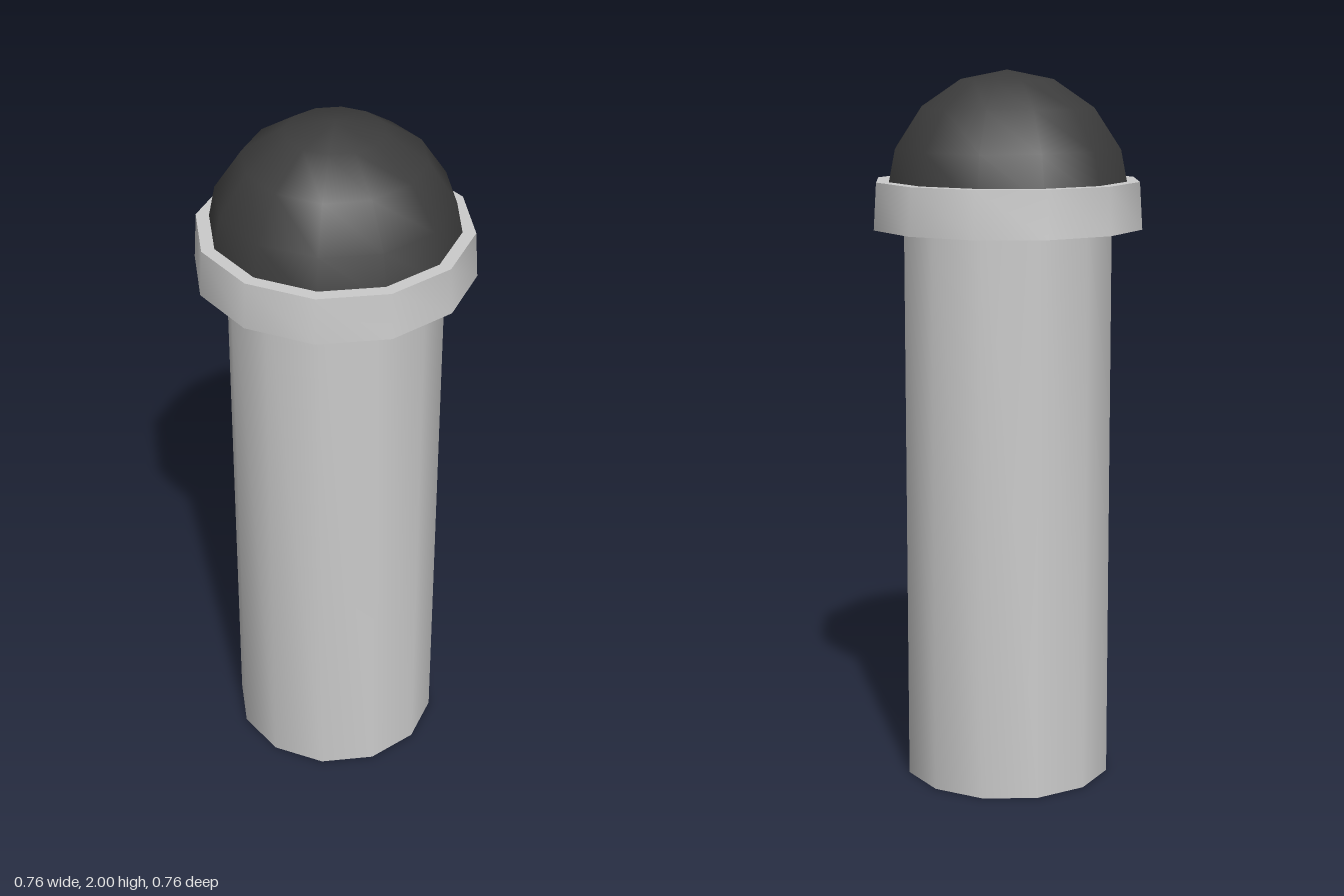
import * as THREE from 'three';
import { toCreasedNormals } from 'three/addons/utils/BufferGeometryUtils.js';

const SIDES = 12;

// Revolve a profile of [radius, height] pairs, smooth around and sharp at the rims
function turned(name, profile, color) {
  const points = profile.map(([r, y]) => new THREE.Vector2(r, y));
  const geometry = toCreasedNormals(new THREE.LatheGeometry(points, SIDES), 0.8);
  const material = new THREE.MeshStandardMaterial({ color, side: THREE.DoubleSide });
  const mesh = new THREE.Mesh(geometry, material);
  mesh.name = name;
  return mesh;
}

export function createModel() {
  const model = new THREE.Group();
  model.name = 'bollard';

  // Hollow post, open at the bottom
  model.add(turned('post', [[0.295, 0], [0.295, 1.7]], 0xcccccc));

  // Slightly tapered collar standing clear of the post
  model.add(turned('collar', [
    [0.335, 1.57], [0.38, 1.57], [0.372, 1.7], [0.335, 1.7], [0.335, 1.57],
  ], 0xcccccc));

  // Dark domed cap seated in the collar
  const radius = 0.345;
  const arc = [];
  for (let i = 0; i <= 4; i++) {
    const a = (i / 4) * Math.PI / 2;
    arc.push([i === 4 ? 0 : radius * Math.cos(a), 2 - radius + radius * Math.sin(a)]);
  }
  model.add(turned('domeCap', arc, 0x3c3c3c));

  return model;
}
